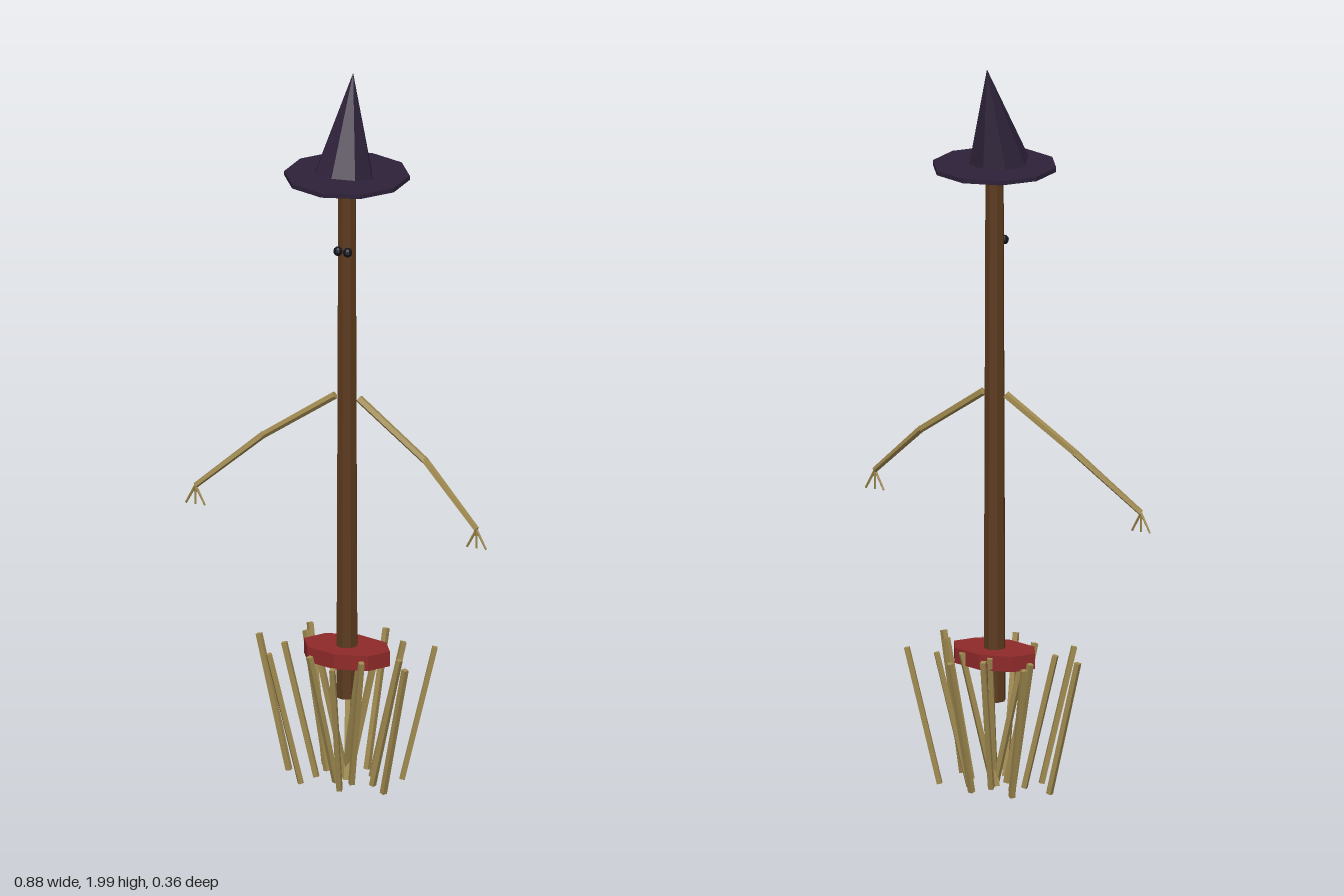
import * as THREE from 'three';

const mat = (name, color) => {
  const m = new THREE.MeshStandardMaterial({ color, flatShading: true });
  m.name = name;
  return m;
};

export function createModel() {
  const wood = mat('brown wood', 0x5c3a1e);
  const straw = mat('straw', 0xa08a50);
  const cloth = mat('dark purple cloth', 0x2d2138);
  const red = mat('red band', 0x8f2a2a);
  const black = mat('black', 0x14121a);

  const root = new THREE.Group();
  root.name = 'broomScarecrow';
  const add = (name, geo, material, x = 0, y = 0, z = 0, parent = root) => {
    const mesh = new THREE.Mesh(geo, material);
    mesh.name = name;
    mesh.position.set(x, y, z);
    parent.add(mesh);
    return mesh;
  };
  const up = new THREE.Vector3(0, 1, 0);
  // Straight stick between two points, r0 at the start and r1 at the end
  const stick = (name, a, b, r0, r1, sides, material, parent) => {
    const p = new THREE.Vector3(...a), d = new THREE.Vector3(...b).sub(p);
    const mesh = add(name, new THREE.CylinderGeometry(r1, r0, d.length(), sides), material, 0, 0, 0, parent);
    mesh.position.copy(p).addScaledVector(d, 0.5);
    mesh.quaternion.setFromUnitVectors(up, d.normalize());
    return mesh;
  };

  // Pole
  add('pole', new THREE.CylinderGeometry(0.025, 0.03, 1.48, 8), wood, 0, 0.98, 0);

  // Hat: flat brim and a cone tipped backwards
  add('hatBrim', new THREE.CylinderGeometry(0.168, 0.168, 0.012, 10), cloth, 0, 1.718, 0);
  add('hatCone', new THREE.ConeGeometry(0.083, 0.277, 8), cloth, 0, 1.86, -0.01).rotation.x = -0.218;

  // Eyes, arms and fingers, mirrored
  for (const s of [1, -1]) {
    const side = s > 0 ? 'left' : 'right';
    add(side + 'Eye', new THREE.SphereGeometry(0.013, 8, 6), black, s * 0.014, 1.51, 0.027);
    const arm = new THREE.Group();
    arm.name = side + 'Arm';
    root.add(arm);
    const wrist = [s * 0.41, 0.8, 0.071];
    stick('upperArm', [s * 0.035, 1.09, 0], [s * 0.24, 0.95, 0.021], 0.011, 0.01, 5, straw, arm);
    stick('forearm', [s * 0.235, 0.954, 0.02], wrist, 0.01, 0.008, 5, straw, arm);
    for (const f of [-1, 0, 1])
      stick('finger', wrist, [wrist[0] + f * 0.028, 0.747, 0.071], 0.004, 0.003, 4, straw, arm);
  }

  // Oval binding band
  add('band', new THREE.CylinderGeometry(0.125, 0.125, 0.042, 8), red, 0, 0.365, 0).scale.z = 0.66;

  // Bristles: upper ends [x, z], each leaning inward towards the ground
  const bristles = new THREE.Group();
  bristles.name = 'bristles';
  root.add(bristles);
  const tops = [
    [-0.257, 0], [-0.168, -0.133], [0.035, -0.176], [0.213, -0.098],
    [0.213, 0.096], [0.035, 0.173], [-0.168, 0.133],
    [-0.153, -0.073], [-0.168, 0.034], [0.168, 0.034], [0.12, -0.1],
    [-0.035, -0.12], [-0.06, 0.11], [0.085, 0.095],
    [-0.09, 0], [0.06, -0.07], [0.06, 0.045], [-0.03, -0.075],
  ];
  for (const [x, z] of tops) {
    const r = Math.hypot(x, z), k = 1 - 0.088 / r;
    const b = add('bristle', new THREE.BoxGeometry(0.014, 0.384, 0.014), straw,
      x * (1 + k) / 2, 0.192, z * (1 + k) / 2, bristles);
    b.rotation.order = 'YXZ';
    b.rotation.set(0.23, Math.atan2(x, z), 0);
  }
  return root;
}
